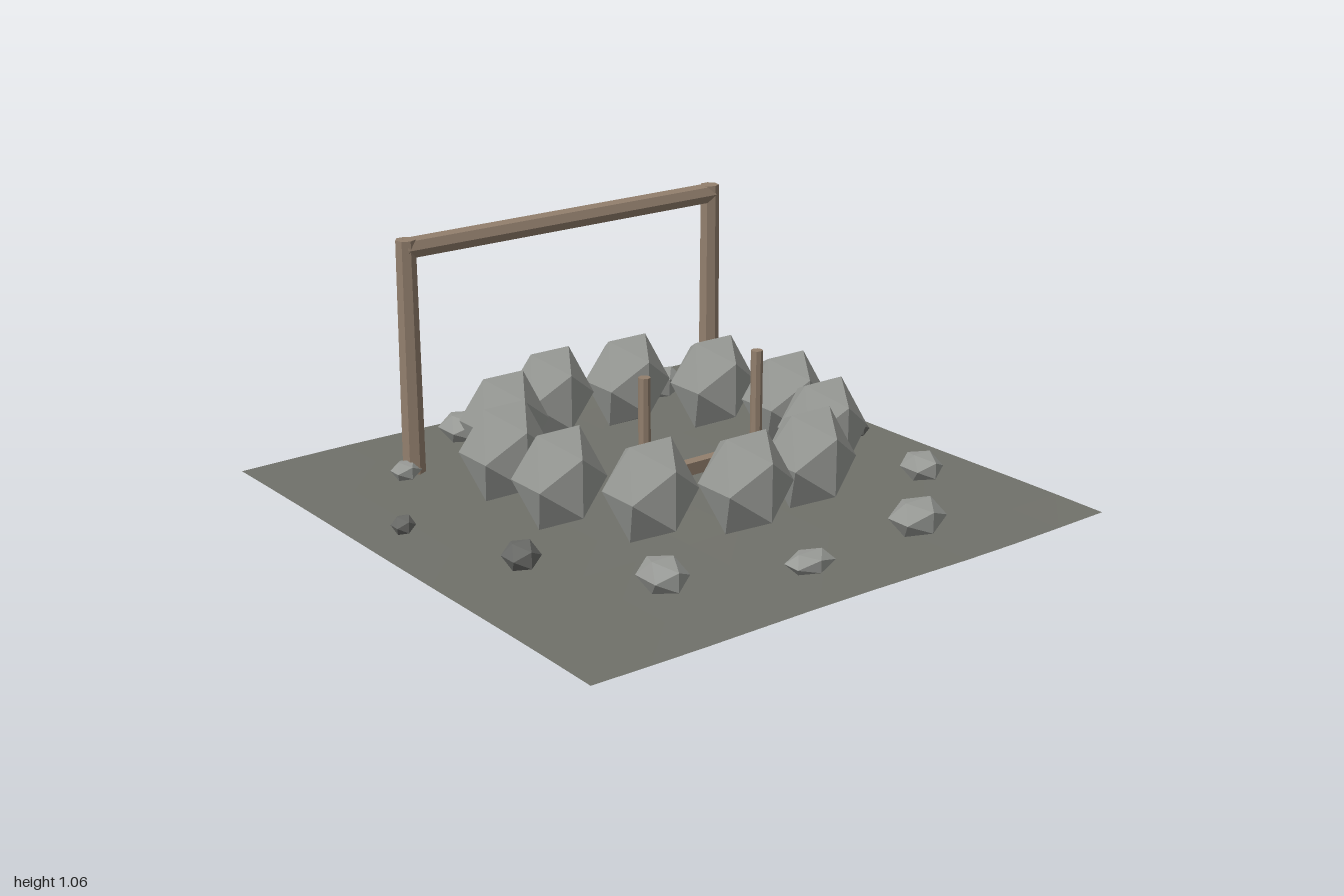
import * as THREE from 'three';

const mat = (name, color, extra = {}) =>
  Object.assign(new THREE.MeshStandardMaterial({ color, flatShading: true, ...extra }), { name });

export function createModel() {
  const model = new THREE.Group();
  model.name = 'stoneWell';

  const stone = mat('pale stone', 0x999b97);
  const darkStone = mat('dark stone', 0x6a6b68);
  const earth = mat('earth', 0x70716a, { side: THREE.DoubleSide });
  const basin = mat('basin grey', 0x747a73);
  const wood = mat('weathered wood', 0x927f6d);

  const add = (name, geometry, material, x, y, z, parent = model) => {
    const mesh = new THREE.Mesh(geometry, material);
    mesh.name = name;
    mesh.position.set(x, y, z);
    parent.add(mesh);
    return mesh;
  };
  const group = (name) => {
    const g = new THREE.Group();
    g.name = name;
    model.add(g);
    return g;
  };

  // Gently uneven ground sheet
  const groundGeo = new THREE.PlaneGeometry(2, 2, 10, 10).rotateX(-Math.PI / 2);
  const p = groundGeo.attributes.position;
  for (let i = 0; i < p.count; i++) {
    const x = p.getX(i), z = p.getZ(i);
    p.setY(i, 0.214 + 0.003 * Math.sin(5 * x + 2 * z) + 0.002 * Math.cos(4 * z - 3 * x));
  }
  groundGeo.computeVertexNormals();
  add('ground', groundGeo, earth, 0, 0, 0);

  // Shallow basin under the ground
  add('basin', new THREE.CylinderGeometry(0.38, 0.38, 0.058, 20), basin, 0, 0.176, 0);

  // A faceted boulder given by its half extents
  const rock = new THREE.IcosahedronGeometry(1 / 0.8507, 0);
  const addRock = (name, material, x, y, z, hx, hy, hz, parent) =>
    add(name, rock, material, x, y, z, parent).scale.set(hx, hy, hz);

  // Ring of large boulders
  const ring = group('boulderRing');
  for (let i = 0; i < 11; i++) {
    const a = (i / 11) * Math.PI * 2;
    addRock('boulder', stone, 0.525 * Math.cos(a), 0.427, 0.525 * Math.sin(a), 0.125, 0.153, 0.125, ring);
  }

  // Scattered small rocks: x, z, half extents x, y, z
  const paleRocks = [
    [-0.305, -0.71, 0.073, 0.048, 0.08], [0.5, -0.675, 0.1, 0.05, 0.072],
    [0.68, 0.505, 0.057, 0.044, 0.067], [0.35, 0.83, 0.083, 0.055, 0.07],
    [-0.11, 0.86, 0.073, 0.032, 0.05], [-0.53, 0.7, 0.063, 0.05, 0.077],
    [-0.66, -0.5, 0.045, 0.032, 0.04],
  ];
  const darkRocks = [
    [0.095, -0.8, 0.053, 0.042, 0.057], [0.715, -0.31, 0.077, 0.053, 0.067],
    [0.78, 0.09, 0.037, 0.027, 0.03], [-0.765, 0.325, 0.05, 0.043, 0.055],
    [-0.905, -0.11, 0.033, 0.029, 0.033],
  ];
  const scatter = group('scatteredRocks');
  for (const [list, material] of [[paleRocks, stone], [darkRocks, darkStone]])
    for (const [x, z, hx, hy, hz] of list)
      addRock('smallRock', material, x, 0.265 + hy * 0.8, z, hx, hy, hz, scatter);

  // Timber gate at the back
  const gate = group('timberGate');
  const postGeo = new THREE.CylinderGeometry(0.033, 0.038, 0.78, 7);
  for (const x of [-0.623, 0.602]) add('gatePost', postGeo, wood, x, 0.665, -0.511, gate);
  const beamGeo = new THREE.CylinderGeometry(0.035, 0.035, 1.235, 7).rotateZ(Math.PI / 2);
  add('gateBeam', beamGeo, wood, -0.012, 1.024, -0.511, gate);

  // Ladder going down into the well
  const ladder = group('ladder');
  const railGeo = new THREE.CylinderGeometry(0.02, 0.02, 0.645, 8);
  for (const x of [-0.12, 0.34]) add('ladderRail', railGeo, wood, x, 0.3275, 0.07, ladder);
  const rungGeo = new THREE.BoxGeometry(0.485, 0.043, 0.038);
  for (let i = 0; i < 3; i++) add('ladderRung', rungGeo, wood, 0.12, 0.0235 + i * 0.124, 0, ladder);

  return model;
}
